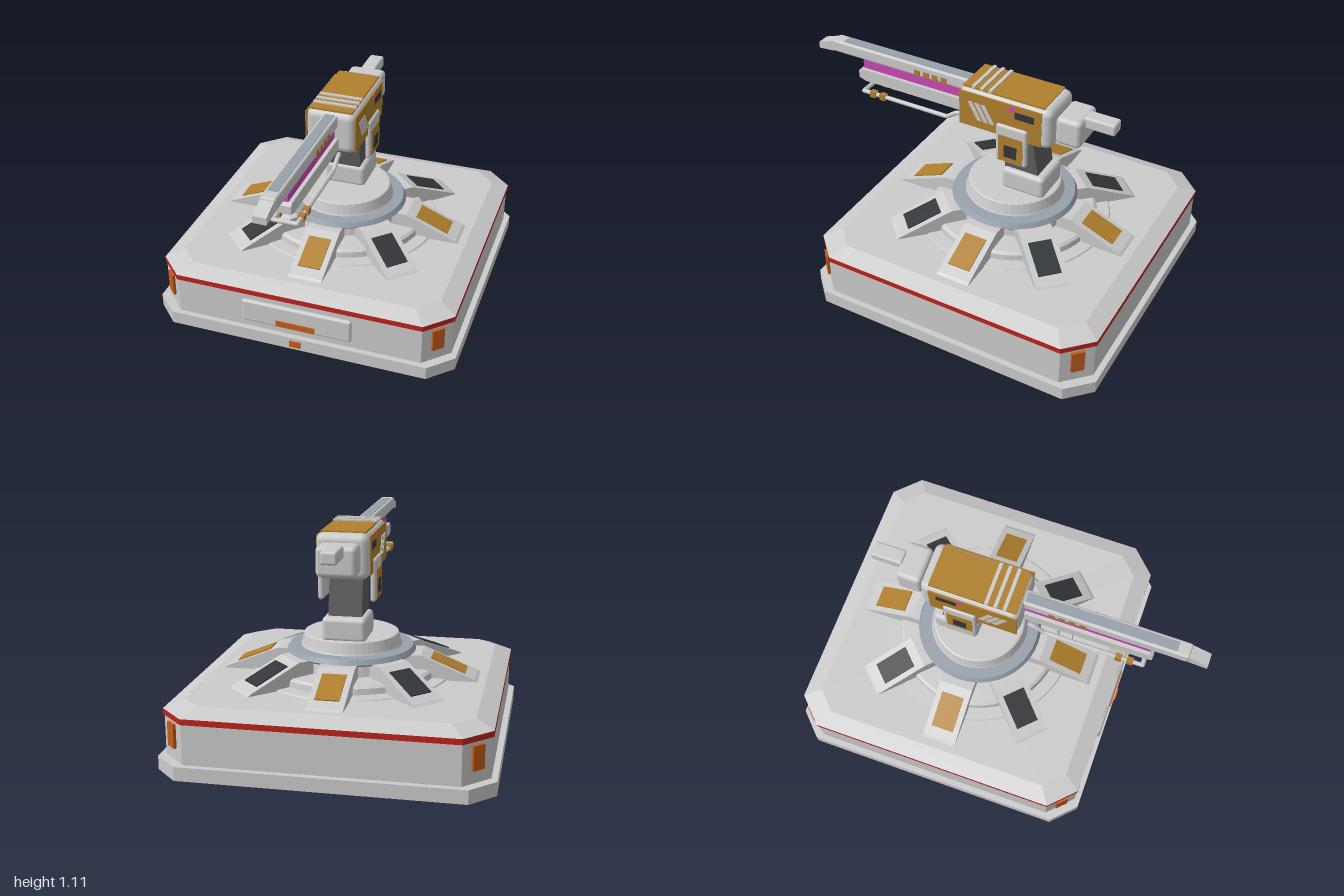
import * as THREE from 'three';
import { RoundedBoxGeometry } from 'three/addons/geometries/RoundedBoxGeometry.js';

const mat = (color, flatShading = true) =>
  new THREE.MeshStandardMaterial({ color, flatShading, side: THREE.DoubleSide });

export function createModel() {
  const model = new THREE.Group();
  const grey = mat(0xcccccc), smooth = mat(0xcccccc, false), gold = mat(0xb07f2d), red = mat(0xc0221c),
    orange = mat(0xc55c1a), pink = mat(0xc848b4), dark = mat(0x33363a),
    steel = mat(0x98a2ac), iron = mat(0x5c5c5c);

  function add(parent, name, geo, material, x = 0, y = 0, z = 0) {
    const m = new THREE.Mesh(geo, material);
    m.name = name;
    m.position.set(x, y, z);
    parent.add(m);
    return m;
  }
  // box from its limits on each axis; a radius rounds the edges
  function box(parent, name, material, [x0, x1], [y0, y1], [z0, z1], r = 0) {
    const s = [x1 - x0, y1 - y0, z1 - z0];
    const geo = r ? new RoundedBoxGeometry(...s, 2, r) : new THREE.BoxGeometry(...s);
    return add(parent, name, geo, r ? smooth : material, (x0 + x1) / 2, (y0 + y1) / 2, (z0 + z1) / 2);
  }
  // side profile of (z, y) points, extruded across x
  function profile(points, width) {
    const shape = new THREE.Shape(points.map(([z, y]) => new THREE.Vector2(-z, y)));
    return new THREE.ExtrudeGeometry(shape, { depth: width, bevelEnabled: false })
      .translate(0, 0, -width / 2).rotateY(Math.PI / 2);
  }
  // open shell: a square with cut corners through layers of [half width, cut, height];
  // a layer of half width 0 closes it
  function cutSquareLoft(layers) {
    const pos = [];
    const rings = layers.map(([h, c, y]) =>
      [[h, c - h], [h, h - c], [h - c, h], [c - h, h], [-h, h - c], [-h, c - h], [c - h, -h], [h - c, -h]]
        .map(([x, z]) => [x, y, z]));
    for (let k = 0; k + 1 < rings.length; k++) {
      const a = rings[k], b = rings[k + 1];
      for (let i = 0; i < 8; i++) {
        const j = (i + 1) % 8;
        if (layers[k][0]) pos.push(...a[i], ...b[j], ...a[j]);
        if (layers[k + 1][0]) pos.push(...a[i], ...b[i], ...b[j]);
      }
    }
    const geo = new THREE.BufferGeometry();
    geo.setAttribute('position', new THREE.Float32BufferAttribute(pos, 3));
    geo.computeVertexNormals();
    return geo;
  }

  // Base: an open skirt around a hollow-bottomed body
  const base = new THREE.Group();
  base.name = 'base';
  base.position.z = -0.19;
  model.add(base);
  add(base, 'plinth', cutSquareLoft([[0.81, 0.12, 0], [0.81, 0.12, 0.07], [0.78, 0.125, 0.07]]), grey);
  add(base, 'baseBody', cutSquareLoft([[0, 0, 0.07], [0.78, 0.125, 0.07], [0.78, 0.125, 0.27]]), grey);
  add(base, 'redStripe', cutSquareLoft([[0.78, 0.125, 0.27], [0.787, 0.13, 0.272], [0.787, 0.13, 0.301]]), red);
  add(base, 'deck', cutSquareLoft([[0.787, 0.13, 0.301], [0.7, 0.1, 0.337], [0, 0, 0.337]]), grey);
  for (let i = 0; i < 4; i++) {
    const a = Math.PI / 4 + i * Math.PI / 2, r = 0.722 * Math.SQRT2;
    const lamp = add(base, 'cornerLamp', new THREE.BoxGeometry(0.066, 0.12, 0.016), orange,
      Math.sin(a) * r, 0.195, Math.cos(a) * r);
    lamp.rotation.y = a;
  }
  box(base, 'frontPanel', grey, [-0.295, 0.295], [0.11, 0.24], [0.77, 0.8], 0.014);
  box(base, 'frontPanelLamp', orange, [-0.105, 0.105], [0.122, 0.155], [0.79, 0.806]);
  box(base, 'plinthLamp', orange, [-0.03, 0.03], [0.018, 0.052], [0.8, 0.818]);

  // Turntable rings
  const lathe = pts => new THREE.LatheGeometry(pts.map(p => new THREE.Vector2(...p)), 48);
  add(base, 'floorRing', lathe([[0.51, 0.337], [0.505, 0.344], [0.44, 0.346], [0.435, 0.375],
    [0.42, 0.386], [0.3, 0.39], [0.29, 0.45]]), grey);
  add(base, 'turntableRim', lathe([[0.28, 0.45], [0.325, 0.452], [0.332, 0.46], [0.318, 0.485], [0.25, 0.487]]), steel);
  add(base, 'turntableCap', lathe([[0.262, 0.485], [0.257, 0.495], [0.243, 0.548], [0.235, 0.552], [0, 0.552]]), grey);

  // Eight sloped pads around the turntable, gold and dark in turn
  const padGeo = profile([[0.29, 0.337], [0.66, 0.337], [0.645, 0.348], [0.37, 0.46], [0.29, 0.46]], 0.18);
  for (let i = 0; i < 8; i++) {
    const pad = new THREE.Group();
    pad.name = 'pad';
    pad.rotation.y = i * Math.PI / 4;
    base.add(pad);
    add(pad, 'padFrame', padGeo, grey);
    const inlay = add(pad, 'padInlay', new THREE.BoxGeometry(0.12, 0.01, 0.19), i % 2 ? dark : gold, 0, 0.405, 0.507);
    inlay.rotation.x = Math.atan2(0.112, 0.275);
  }

  // Pedestal and neck
  box(model, 'pedestal', grey, [-0.112, 0.112], [0.54, 0.667], [-0.405, -0.165], 0.025);
  add(model, 'neck', profile([[-0.175, 0.65], [-0.365, 0.65], [-0.32, 0.9], [-0.15, 0.9]], 0.17), iron);

  // Head
  const head = new THREE.Group();
  head.name = 'head';
  model.add(head);
  box(head, 'headBody', grey, [-0.132, 0.132], [0.868, 1.097], [-0.445, 0.072], 0.04);
  box(head, 'topPlate', gold, [-0.112, 0.112], [1.093, 1.103], [-0.4, 0.055]);
  for (const z of [-0.1, -0.052, -0.005])
    box(head, 'topRidge', grey, [-0.115, 0.115], [1.098, 1.111], [z - 0.009, z + 0.009]);
  for (const s of [-1, 1]) {
    const side = new THREE.Group();
    side.name = 'headSide';
    head.add(side);
    // limits are given outward from the middle and mirrored
    const put = (name, m, a, b, y, z, r) => box(side, name, m, s > 0 ? [a, b] : [-b, -a], y, z, r);
    put('sidePanel', gold, 0.128, 0.135, [0.885, 1.08], [-0.395, 0.065]);
    put('darkWindow', dark, 0.132, 0.138, [1.008, 1.046], [-0.355, -0.25]);
    put('pinkLamp', pink, 0.132, 0.138, [1.043, 1.073], [-0.248, -0.22]);
    for (let i = 0; i < 3; i++) {
      const z = 0.015 - i * 0.036;
      add(side, 'slash', profile([[z, 1.03], [z - 0.026, 1.03], [z - 0.08, 0.932], [z - 0.054, 0.932]], 0.006),
        grey, s * 0.135);
    }
    put('yokeArm', grey, 0.118, 0.148, [0.735, 0.955], [-0.322, -0.148], 0.014);
    put('yokePanel', gold, 0.145, 0.151, [0.748, 0.897], [-0.303, -0.167]);
    put('yokeWindow', dark, 0.148, 0.154, [0.775, 0.845], [-0.27, -0.2]);
  }
  box(head, 'rearCollar', iron, [-0.07, 0.07], [0.93, 1.04], [-0.46, -0.435]);
  box(head, 'rearBlock', grey, [-0.1, 0.1], [0.908, 1.06], [-0.585, -0.45], 0.025);
  box(head, 'rearStub', grey, [-0.04, 0.04], [1.003, 1.066], [-0.738, -0.57], 0.012);

  // Barrels
  const barrel = new THREE.Group();
  barrel.name = 'barrels';
  model.add(barrel);
  box(barrel, 'upperBarrel', grey, [-0.04, 0.04], [1.013, 1.081], [0.05, 0.905], 0.012);
  box(barrel, 'barrelGroove', steel, [-0.025, 0.025], [1.077, 1.084], [0.07, 0.84]);
  add(barrel, 'muzzle', profile([[0.89, 1.018], [0.91, 1.012], [1, 1.004], [1, 1.04], [0.91, 1.07], [0.89, 1.07]], 0.068), grey);
  for (const z of [0.213, 0.265, 0.318, 0.373])
    box(barrel, 'barrelMark', gold, [-0.043, 0.043], [1.018, 1.05], [z - 0.017, z + 0.017]);
  box(barrel, 'pinkCore', pink, [-0.025, 0.025], [0.957, 1.006], [0.05, 0.72]);
  add(barrel, 'lowerBarrel', profile([[0.05, 0.89], [0.7, 0.89], [0.74, 0.903], [0.74, 0.945], [0.72, 0.957], [0.05, 0.957]], 0.09), grey);

  // Twin rods under the lower barrel, joined at the front
  for (const s of [-1, 1]) {
    const path = new THREE.CurvePath();
    const pts = [[0.06, 0.887, 0.1], [0.06, 0.878, 0.13], [0.06, 0.837, 0.185], [0.06, 0.835, 0.705]]
      .map(([x, y, z]) => new THREE.Vector3(s * x, y, z));
    for (let i = 0; i < 3; i++) path.add(new THREE.LineCurve3(pts[i], pts[i + 1]));
    add(barrel, 'rod', new THREE.TubeGeometry(path, 40, 0.012, 8), smooth);
    add(barrel, 'rodCorner', new THREE.SphereGeometry(0.012, 8, 6), smooth, s * 0.06, 0.835, 0.705);
    for (const z of [0.58, 0.64])
      box(barrel, 'rodBand', gold, [s * 0.06 - 0.016, s * 0.06 + 0.016], [0.819, 0.851], [z - 0.017, z + 0.017]);
  }
  const bar = add(barrel, 'rodCrossbar', new THREE.CylinderGeometry(0.012, 0.012, 0.12, 8, 1, true), smooth, 0, 0.835, 0.705);
  bar.rotation.z = Math.PI / 2;
  return model;
}
